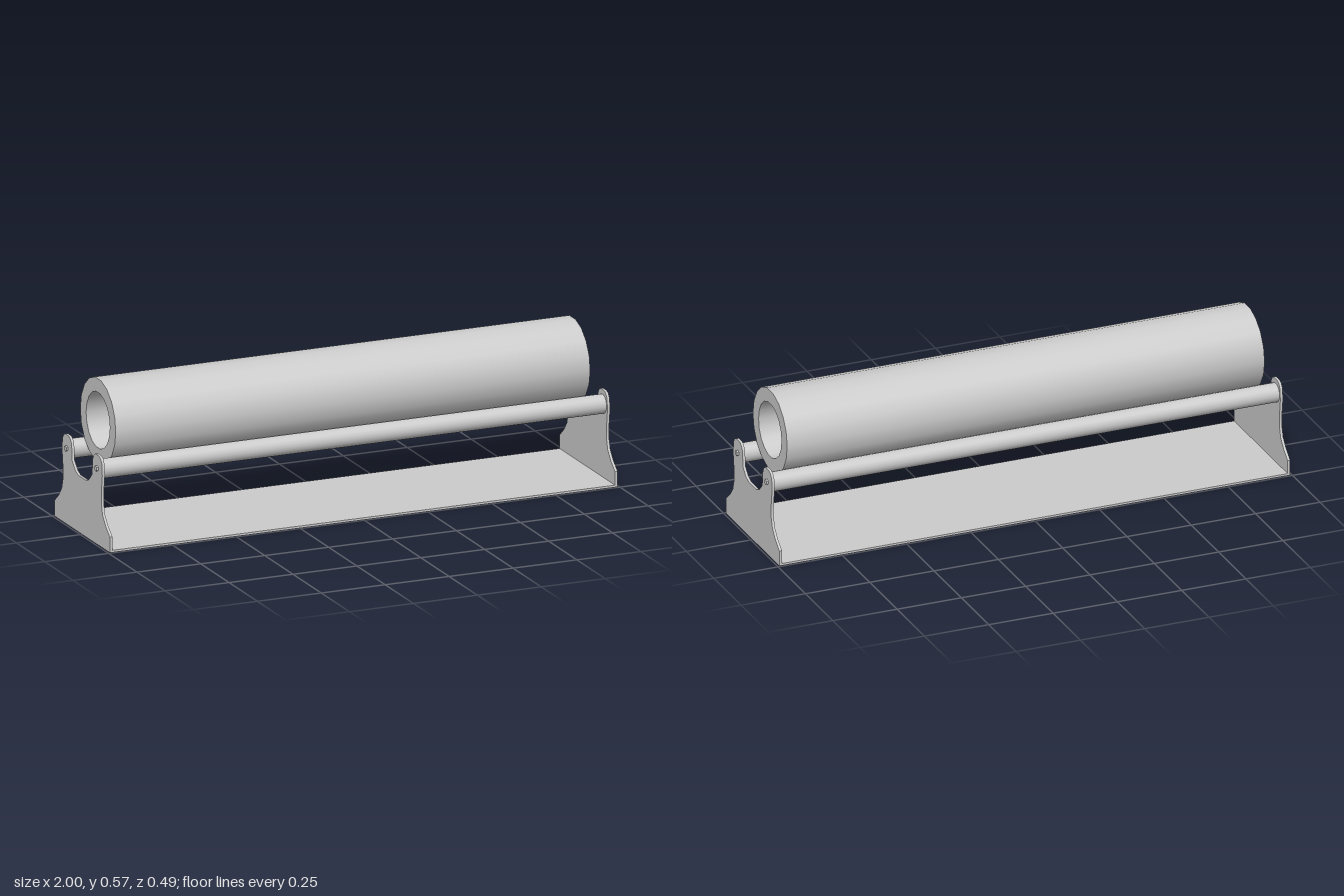
import * as THREE from 'three';
import { toCreasedNormals } from 'three/addons/utils/BufferGeometryUtils.js';

const material = new THREE.MeshStandardMaterial({ color: 0xcccccc });

export function createModel() {
  const model = new THREE.Group();
  const add = (name, geometry, x, y, z) => {
    const mesh = new THREE.Mesh(geometry, material);
    mesh.name = name;
    mesh.position.set(x, y, z);
    model.add(mesh);
  };

  // Thin floor joining the two ends
  add('basePlate', new THREE.BoxGeometry(1.98, 0.008, 0.49), 0, 0.004, 0);

  // Half outline of an end bracket, mirrored across the middle
  const half = [
    [0.245, 0], [0.245, 0.059], [0.208, 0.089], [0.181, 0.122], [0.169, 0.164],
    [0.169, 0.198], [0.178, 0.268], [0.175, 0.311], [0.164, 0.328], [0.148, 0.335],
    [0.117, 0.335], [0.103, 0.327], [0.094, 0.312], [0.09, 0.285], [0.088, 0.25],
    [0.06, 0.222], [0.035, 0.212],
  ];
  const outline = [...half, ...half.map(([z, y]) => [-z, y]).reverse()];
  const bracketShape = new THREE.Shape(outline.map(([z, y]) => new THREE.Vector2(z, y)));
  const thickness = 0.01;
  const bracket = toCreasedNormals(
    new THREE.ExtrudeGeometry(bracketShape, { depth: thickness, bevelEnabled: false })
      .translate(0, 0, -thickness / 2).rotateY(Math.PI / 2), 0.8);

  // Support rods run along x; hexagonal bolt heads sit outside the brackets
  const rod = new THREE.CylinderGeometry(0.036, 0.036, 1.97, 18).rotateZ(Math.PI / 2);
  const bolt = toCreasedNormals(
    new THREE.CylinderGeometry(0.011, 0.011, 0.012, 6).rotateZ(Math.PI / 2).rotateX(Math.PI / 2), 0.5);

  for (const side of [1, -1]) {
    add(side > 0 ? 'leftBracket' : 'rightBracket', bracket, side * 0.988, 0, 0);
    add(side > 0 ? 'frontRod' : 'backRod', rod, 0, 0.282, side * 0.135);
    for (const end of [1, -1]) add('bolt', bolt, end * 0.994, 0.285, side * 0.134);
  }

  // Hollow roll resting on the rods
  const [inner, outer, h] = [0.105, 0.157, 0.928];
  const section = [[inner, -h], [outer, -h], [outer, h], [inner, h], [inner, -h]]
    .map(([r, y]) => new THREE.Vector2(r, y));
  const roll = toCreasedNormals(new THREE.LatheGeometry(section, 18).rotateZ(Math.PI / 2), 0.8);
  add('roll', roll, -0.003, 0.42, 0);

  return model;
}
